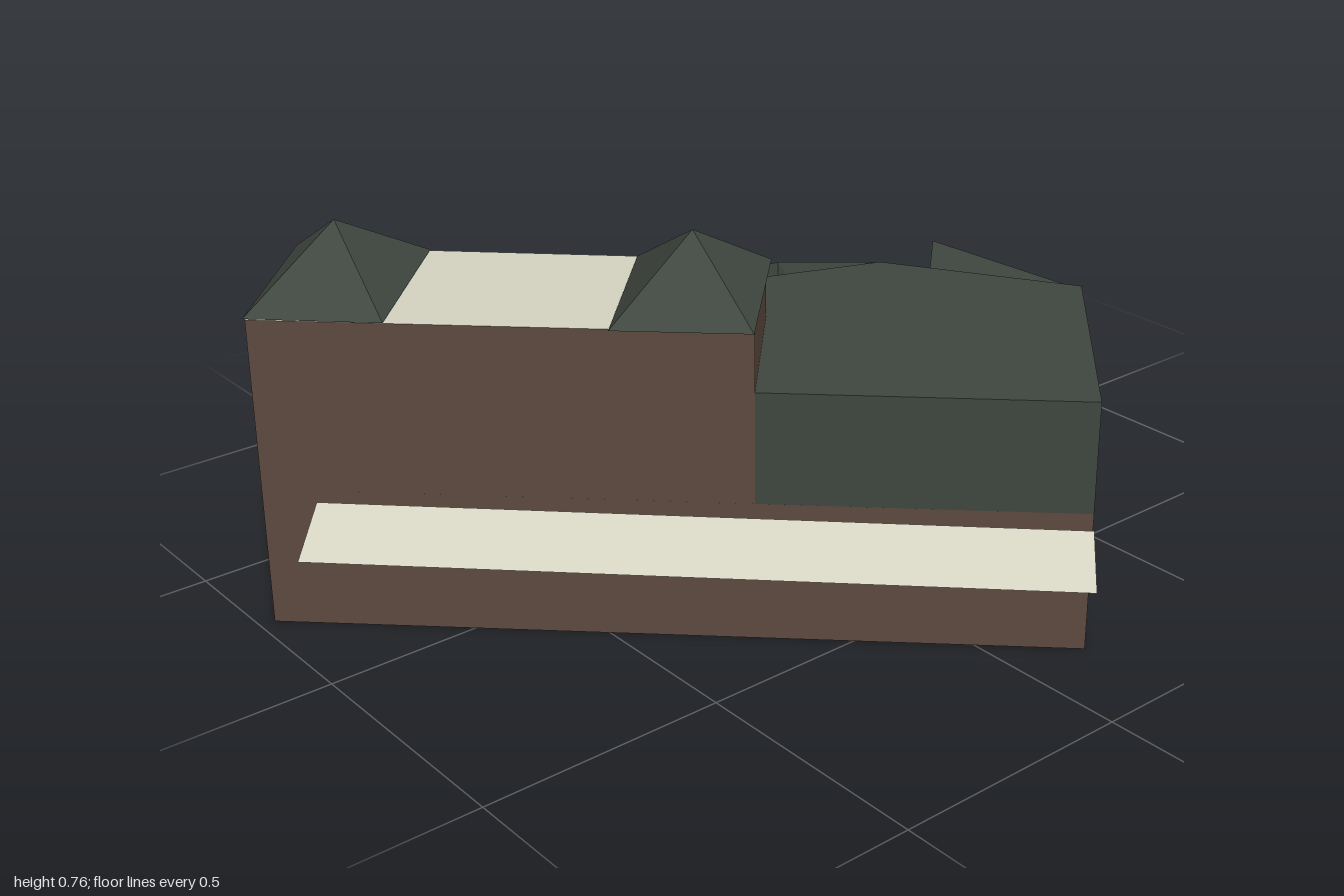
import * as THREE from 'three';

const BASE = 0.285, BLOCK = 0.51, EAVES = 0.63, PEAK = 0.757;

const brown = new THREE.MeshStandardMaterial({ color: 0x5e4a40 });
brown.name = 'brown wall';
const green = new THREE.MeshStandardMaterial({ color: 0x404740 });
green.name = 'dark green roof';
const cream = new THREE.MeshStandardMaterial({ color: 0xd6d4c2 });
cream.name = 'cream canopy';
for (const m of [brown, green, cream]) m.side = THREE.DoubleSide;

// Flat-shaded mesh from a list of triangles, each made of three [x, y, z] corners
function facets(name, triangles, material) {
  const geometry = new THREE.BufferGeometry();
  geometry.setAttribute('position', new THREE.Float32BufferAttribute(triangles.flat(2), 3));
  geometry.computeVertexNormals();
  const mesh = new THREE.Mesh(geometry, material);
  mesh.name = name;
  return mesh;
}

const lift = (outline, y) => outline.map(([x, z]) => [x, y, z]);
const quad = (a, b, c, d) => [[a, b, c], [a, c, d]];

// Wall strip between a lower and an upper outline (anticlockwise seen from above)
function walls(lower, upper, closed = true) {
  const triangles = [];
  const n = lower.length;
  for (let i = 0; i < (closed ? n : n - 1); i++) {
    const j = (i + 1) % n;
    triangles.push(...quad(lower[i], lower[j], upper[j], upper[i]));
  }
  return triangles;
}

// Flat horizontal face facing up or down
function cap(outline, y, up = true) {
  const flat = outline.map(([x, z]) => new THREE.Vector2(x, -z));
  return THREE.ShapeUtils.triangulateShape(flat, []).map(([i, j, k]) => {
    const turn = flat[j].clone().sub(flat[i]).cross(flat[k].clone().sub(flat[i]));
    const order = (turn > 0) === up ? [i, j, k] : [i, k, j];
    return order.map((v) => [outline[v][0], y, outline[v][1]]);
  });
}

// Pyramid roof over a four-cornered outline
function pyramid(name, outline) {
  const corners = lift(outline, EAVES);
  const centre = [0, 1].map((k) => outline.reduce((sum, p) => sum + p[k], 0) / 4);
  const apex = [centre[0], PEAK, centre[1]];
  return facets(name, corners.map((c, i) => [c, corners[(i + 1) % 4], apex]), green);
}

export function createModel() {
  const model = new THREE.Group();
  model.name = 'building';

  // Ground floor, with one back corner flaring out at the foot
  const baseTop = [[-0.92, 0.32], [-0.27, 0.97], [0.8, -0.15], [-0.02, -0.97],
    [-0.43, -0.94], [-0.22, -0.72], [-0.7, -0.22], [-0.75, -0.02]];
  const baseFoot = baseTop.map((p, i) => (i === 4 ? [-0.37, -1] : p));
  model.add(facets('groundFloorWalls',
    [...walls(lift(baseFoot, 0), lift(baseTop, BASE)), ...cap(baseFoot, 0, false)], brown));
  model.add(facets('groundFloorRoof', cap(baseTop, BASE), green));

  // Tall front wing with a flat centre between two pyramid roofs
  const tower = [[-0.545, 0.705], [-0.27, 0.97], [0.37, 0.3], [0.1, 0.045]];
  model.add(facets('towerWalls', walls(lift(tower, BASE), lift(tower, EAVES - 0.003)), brown));
  model.add(facets('towerFlatRoof', cap(tower, EAVES - 0.003), cream));
  model.add(pyramid('outerPyramidRoof', [[-0.55, 0.71], [-0.27, 0.975], [-0.09, 0.79], [-0.36, 0.52]]));
  model.add(pyramid('innerPyramidRoof', [[-0.07, 0.23], [0.2, 0.5], [0.38, 0.31], [0.11, 0.04]]));

  // Upper block: the wall runs out past the roof edge at the back
  const blockFoot = [[0.1, 0.05], [0.37, 0.3], [0.8, -0.15], [0.39, -0.55], [0.026, -0.27],
    [-0.11, -0.165], [-0.15, 0.15], [-0.07, 0.23]];
  const blockTop = blockFoot.map((p, i) => (i === 4 ? [0.026, -0.33] : p));
  model.add(facets('upperBlockWalls', walls(lift(blockFoot, BASE), lift(blockTop, BLOCK), false), green));
  model.add(facets('upperBlockRoof', cap(blockTop.filter((p, i) => i !== 5), BLOCK), green));

  // Sloping canopies
  model.add(facets('frontCanopy', quad(
    [-0.19, 0.265, 0.9], [-0.09, 0.215, 1], [0.92, 0.215, -0.03], [0.82, 0.265, -0.13]), cream));
  model.add(facets('backCanopy', quad(
    [-0.52, 0.25, -0.42], [-0.61, 0.215, -0.5], [-0.78, 0.215, -0.31], [-0.69, 0.25, -0.23]), cream));

  // Small raised flap at the back edge of the low roof
  model.add(facets('roofFlap', [[[-0.44, 0.32, -0.5], [-0.29, 0.287, -0.4], [-0.3, 0.32, -0.63]]], green));

  // Faceted stair hood against the back of the tower
  const toe = [-0.47, BASE, 0.49], near = [-0.385, 0.42, 0.535], ridge = [-0.25, 0.455, 0.4];
  const tip = [-0.2, 0.435, 0.345], under = [-0.22, 0.33, 0.37];
  model.add(facets('stairHood', [[toe, near, ridge], [toe, ridge, tip], [toe, tip, under]], brown));

  return model;
}
